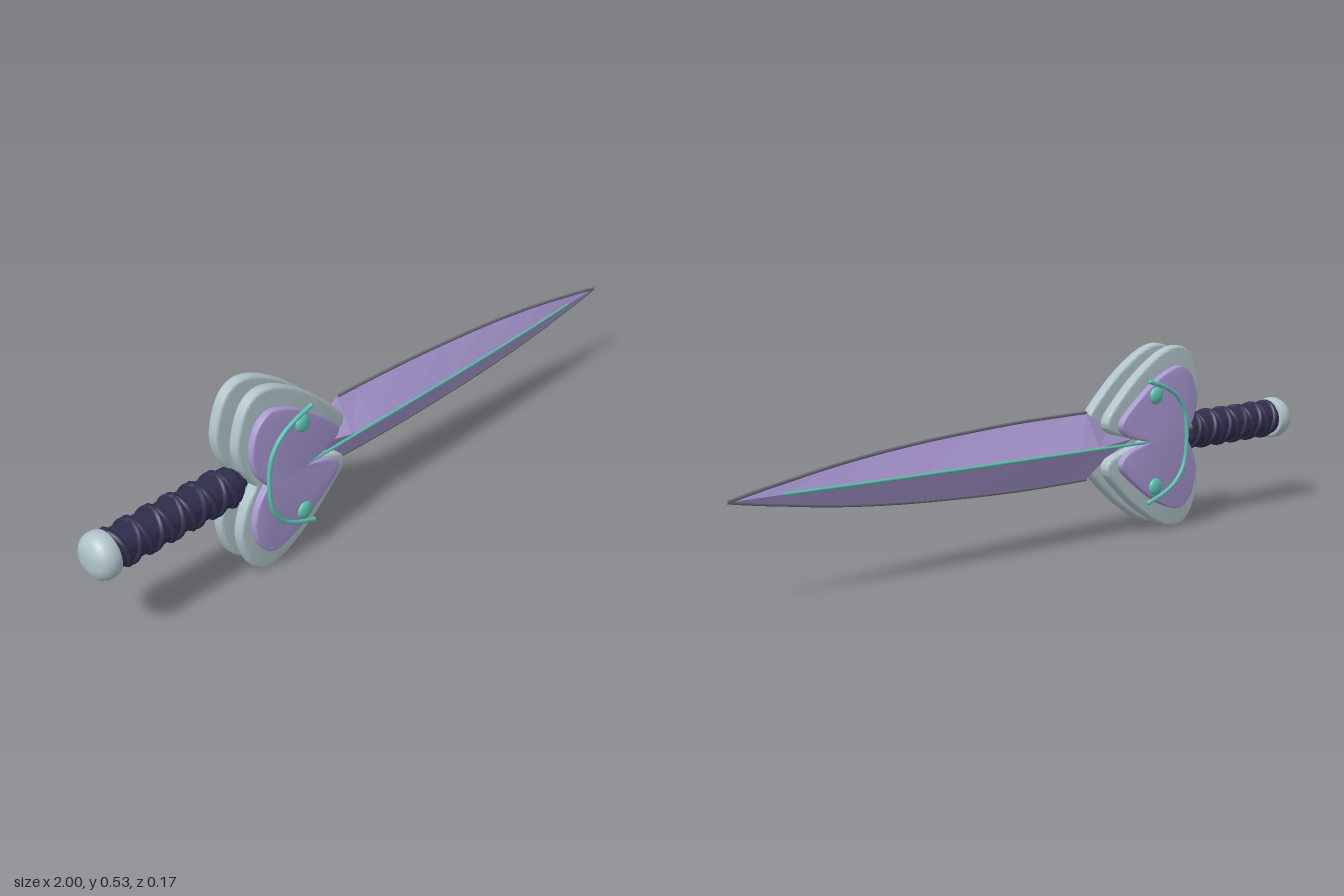
import * as THREE from 'three';
import { toCreasedNormals } from 'three/addons/utils/BufferGeometryUtils.js';

const MID = 0.268; // height of the long axis

export function createModel() {
  const root = new THREE.Group();
  root.name = 'dagger';
  const body = new THREE.Group();
  body.name = 'daggerBody';
  body.position.y = MID;
  root.add(body);

  const mat = (name, color) => {
    const m = new THREE.MeshStandardMaterial({ color });
    m.name = name;
    return m;
  };
  const lilac = mat('lilac', 0xa998d2);
  const steel = mat('paleSteel', 0xb0c3c9);
  const teal = mat('teal', 0x5cc4b0);
  const navy = mat('navyWrap', 0x2f2e4c);
  const edgeGrey = mat('edgeGrey', 0x6c6a7c);

  const add = (name, geometry, material) => {
    const mesh = new THREE.Mesh(geometry, material);
    mesh.name = name;
    body.add(mesh);
    return mesh;
  };
  const v3 = (x, y, z) => new THREE.Vector3(x, y, z);
  const tube = (pts, r, n, sides = 8) =>
    new THREE.TubeGeometry(new THREE.CatmullRomCurve3(pts), n, r, sides);
  // Turned part along x, profile given as [x, radius]
  const turned = (profile, segs = 32) => {
    const g = new THREE.LatheGeometry(profile.map(([x, r]) => new THREE.Vector2(r, x)), segs);
    return toCreasedNormals(g.rotateZ(-Math.PI / 2), 0.7);
  };

  // Blade: diamond cross-sections [x, half height, half thickness]
  const sections = [
    [-0.34, 0, 0], [-0.24, 0.04, 0.028], [-0.155, 0.096, 0.054], [-0.08, 0.096, 0.059],
    [0.1, 0.094, 0.054], [0.27, 0.087, 0.046], [0.45, 0.076, 0.037], [0.6, 0.062, 0.028],
    [0.72, 0.047, 0.02], [0.84, 0.028, 0.01], [0.93, 0.013, 0.005], [0.998, 0, 0],
  ];
  const ring = ([x, h, d]) => [[x, h, 0], [x, 0, d], [x, -h, 0], [x, 0, -d]];
  const verts = [];
  for (let i = 0; i < sections.length - 1; i++) {
    const a = ring(sections[i]), b = ring(sections[i + 1]);
    for (let k = 0; k < 4; k++) {
      const n = (k + 1) % 4;
      verts.push(...a[k], ...a[n], ...b[k], ...a[n], ...b[n], ...b[k]);
    }
  }
  const bladeGeo = new THREE.BufferGeometry();
  bladeGeo.setAttribute('position', new THREE.Float32BufferAttribute(verts, 3));
  bladeGeo.computeVertexNormals();
  add('blade', bladeGeo, lilac);

  // Cutting edges and ridge inlays
  for (const s of [1, -1]) {
    add('cuttingEdge', tube(sections.slice(2).map(([x, h]) => v3(x, s * h, 0)), 0.0045, 60, 6), edgeGrey);
    add('ridgeInlay', tube([v3(-0.34, 0, s * 0.07), v3(-0.08, 0, s * 0.059),
      v3(0.27, 0, s * 0.045), v3(0.6, 0, s * 0.027), v3(0.85, 0, s * 0.008)], 0.0045, 50, 6), teal);
  }

  // Two-lobed plate: the upper lobe is mirrored for the lower one
  const lobedPlate = (lobe, depth, bevel) => {
    const pts = lobe.map(([x, y]) => new THREE.Vector2(x, y));
    const shape = new THREE.Shape();
    shape.moveTo(pts[0].x, pts[0].y);
    shape.splineThru(pts.slice(1));
    shape.splineThru(pts.slice(0, -1).reverse().map((p) => new THREE.Vector2(p.x, -p.y)));
    const g = new THREE.ExtrudeGeometry(shape, {
      depth: depth - 2 * bevel, bevelEnabled: true, bevelThickness: bevel, bevelSize: bevel,
      bevelOffset: -bevel, bevelSegments: 3, curveSegments: 6,
    });
    g.translate(0, 0, bevel - depth / 2);
    return toCreasedNormals(g, 0.7);
  };
  const outer = lobedPlate([[-0.505, 0], [-0.545, 0.06], [-0.562, 0.125], [-0.55, 0.19], [-0.52, 0.245],
    [-0.47, 0.267], [-0.4, 0.25], [-0.31, 0.195], [-0.23, 0.125], [-0.188, 0.075],
    [-0.2, 0.04], [-0.26, 0.02], [-0.34, 0]], 0.034, 0.007);
  const inner = lobedPlate([[-0.483, 0], [-0.518, 0.05], [-0.531, 0.11], [-0.515, 0.17], [-0.48, 0.205],
    [-0.44, 0.208], [-0.37, 0.18], [-0.29, 0.125], [-0.232, 0.075], [-0.227, 0.045],
    [-0.265, 0.018], [-0.34, 0]], 0.022, 0.005);

  // Guard on both faces, with trim and studs
  for (const s of [1, -1]) {
    add('guardPlate', outer, steel).position.z = s * 0.039;
    add('guardPanel', inner, lilac).position.z = s * 0.065;
    const half = [[-0.33, 0.175], [-0.39, 0.155], [-0.44, 0.125], [-0.472, 0.08], [-0.482, 0.03]];
    const path = [...half, ...half.map(([x, y]) => [x, -y]).reverse()];
    add('guardTrim', tube(path.map(([x, y]) => v3(x, y, s * 0.08)), 0.006, 60), teal);
    for (const t of [1, -1]) {
      const end = add('trimEnd', new THREE.SphereGeometry(0.0065, 12, 8), teal);
      end.position.set(-0.33, t * 0.175, s * 0.08);
      const stud = add('guardStud', new THREE.SphereGeometry(0.025, 24, 16), teal);
      stud.scale.z = 0.46;
      stud.position.set(-0.358, t * 0.133, s * 0.076);
    }
  }

  // Core between the guard plates
  const core = add('guardCore', new THREE.CylinderGeometry(0.048, 0.048, 0.046, 32), teal);
  core.rotation.x = Math.PI / 2;
  core.position.x = -0.458;
  add('gripCollar', turned([[-0.56, 0], [-0.56, 0.04], [-0.53, 0.04], [-0.525, 0.022], [-0.49, 0.022], [-0.49, 0]]), navy);

  // Grip with two crossing helical wraps
  add('grip', turned([[-0.955, 0], [-0.955, 0.05], [-0.545, 0.05], [-0.535, 0.04], [-0.535, 0]]), navy);
  for (const s of [1, -1]) {
    const pts = [];
    for (let i = 0; i <= 120; i++) {
      const a = (i / 120) * Math.PI * 2 * 5.5;
      pts.push(v3(-0.93 + 0.375 * (i / 120), 0.05 * Math.cos(a), s * 0.05 * Math.sin(a)));
    }
    add('gripWrap', tube(pts, 0.0085, 260, 8), navy);
  }

  // Rounded pommel
  add('pommel', turned([[-1, 0], [-0.999, 0.025], [-0.993, 0.044], [-0.981, 0.057], [-0.966, 0.063],
    [-0.948, 0.063], [-0.938, 0.059], [-0.935, 0.05], [-0.935, 0]]), steel);

  return root;
}
